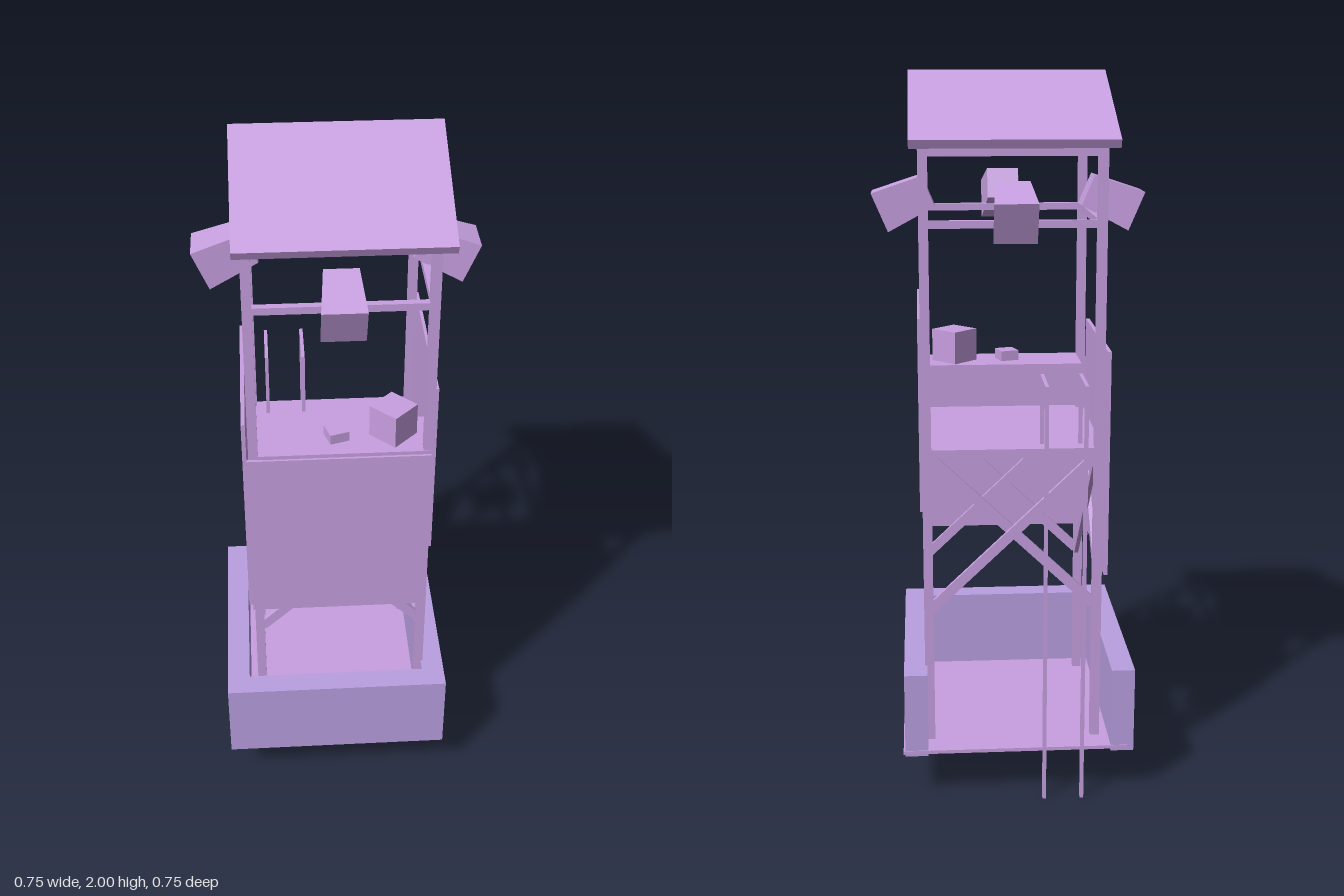
import * as THREE from 'three';

const timber = new THREE.MeshStandardMaterial({ color: 0xc79fe0, flatShading: true });
const wallMat = new THREE.MeshStandardMaterial({ color: 0xb99fe0, flatShading: true });

export function createModel() {
  const tower = new THREE.Group();
  tower.name = 'watchtower';

  const add = (name, geometry, material = timber, parent = tower) => {
    const mesh = new THREE.Mesh(geometry, material);
    mesh.name = name;
    parent.add(mesh);
    return mesh;
  };
  // Box given by its extents on each axis
  const box = (name, [x0, x1], [y0, y1], [z0, z1], material, parent) => {
    const mesh = add(name, new THREE.BoxGeometry(x1 - x0, y1 - y0, z1 - z0), material, parent);
    mesh.position.set((x0 + x1) / 2, (y0 + y1) / 2, (z0 + z1) / 2);
    return mesh;
  };

  // Low enclosure, open at the back
  box('groundFloor', [-0.317, 0.315], [0.137, 0.147], [-0.317, 0.315]);
  box('frontWall', [-0.335, 0.31], [0.13, 0.375], [0.283, 0.348], wallMat);
  box('rightWall', [-0.335, -0.27], [0.13, 0.375], [-0.315, 0.283], wallMat);
  box('leftWall', [0.245, 0.31], [0.13, 0.375], [-0.315, 0.283], wallMat);

  // Frame is centred slightly off the enclosure
  const cx = 0.003, half = 0.235;
  for (const sx of [-1, 1]) for (const sz of [-1, 1]) {
    const x = cx + sx * half, z = sz * half;
    box('post', [x - 0.013, x + 0.013], [0.14, 1.855], [z - 0.013, z + 0.013]);
  }

  // Each side: two rails, a cross brace and a floodlight
  for (let i = 0; i < 4; i++) {
    const side = new THREE.Group();
    side.name = 'frameSide';
    side.position.x = cx;
    side.rotation.y = i * Math.PI / 2;
    tower.add(side);
    box('lampRail', [-half, half], [1.6, 1.62], [half - 0.01, half + 0.01], timber, side);
    box('topRail', [-half, half], [1.785, 1.807], [half - 0.01, half + 0.01], timber, side);
    for (const s of [-1, 1]) {
      const brace = add('crossBrace', new THREE.BoxGeometry(0.63, 0.028, 0.012), timber, side);
      brace.position.set(0, 0.762, half + s * 0.006);
      brace.rotation.z = s * Math.atan2(0.44, 0.46);
    }
    // Four-sided tapered housing aimed outwards and down
    const housing = new THREE.CylinderGeometry(0.057 * Math.SQRT2, 0.045 * Math.SQRT2, 0.145, 4);
    housing.rotateY(Math.PI / 4).rotateX(Math.PI / 2 + 0.404);
    add('floodlight', housing, timber, side).position.set(0, 1.651, 0.286);
  }

  // Platform and the three screens
  box('platform', [cx - 0.245, cx + 0.245], [0.978, 1.003], [-0.247, 0.247]);
  box('frontScreen', [-0.25, 0.246], [0.62, 1.155], [0.248, 0.257]);
  box('leftScreen', [0.249, 0.258], [0.83, 1.365], [-0.25, 0.25]);
  box('rightScreen', [-0.261, -0.25], [0.635, 1.27], [-0.25, 0.25]);

  // Counter with the things on and under it
  box('counter', [-0.22, 0.245], [1.15, 1.166], [0.09, 0.25]);
  box('underCounterBox', [0.02, 0.1], [1.06, 1.15], [0.12, 0.2]);
  box('counterCrate', [0.104, 0.196], [1.166, 1.26], [0.12, 0.212]).rotation.y = Math.PI / 4;
  box('counterTray', [-0.032, 0.022], [1.166, 1.195], [0.145, 0.2]).rotation.y = 0.3;

  // Two climbing poles bent over onto the platform
  for (const x of [-0.186, -0.08]) {
    const w = [x - 0.005, x + 0.005];
    box('outerPole', w, [0, 1.197], [-0.341, -0.325]);
    box('poleTop', w, [1.181, 1.197], [-0.325, -0.2]);
    box('innerPole', w, [1.003, 1.197], [-0.2, -0.185]);
  }

  // Gable roof: a bent board drawn out along x
  const profile = new THREE.Shape([
    [-0.35, 1.832], [-0.34, 1.81], [0, 1.973], [0.34, 1.81], [0.35, 1.832], [0, 2],
  ].map(([z, y]) => new THREE.Vector2(z, y)));
  const roof = new THREE.ExtrudeGeometry(profile, { depth: 0.536, bevelEnabled: false });
  roof.rotateY(Math.PI / 2);
  add('roof', roof).position.set(-0.263, 0, 0);

  return tower;
}
